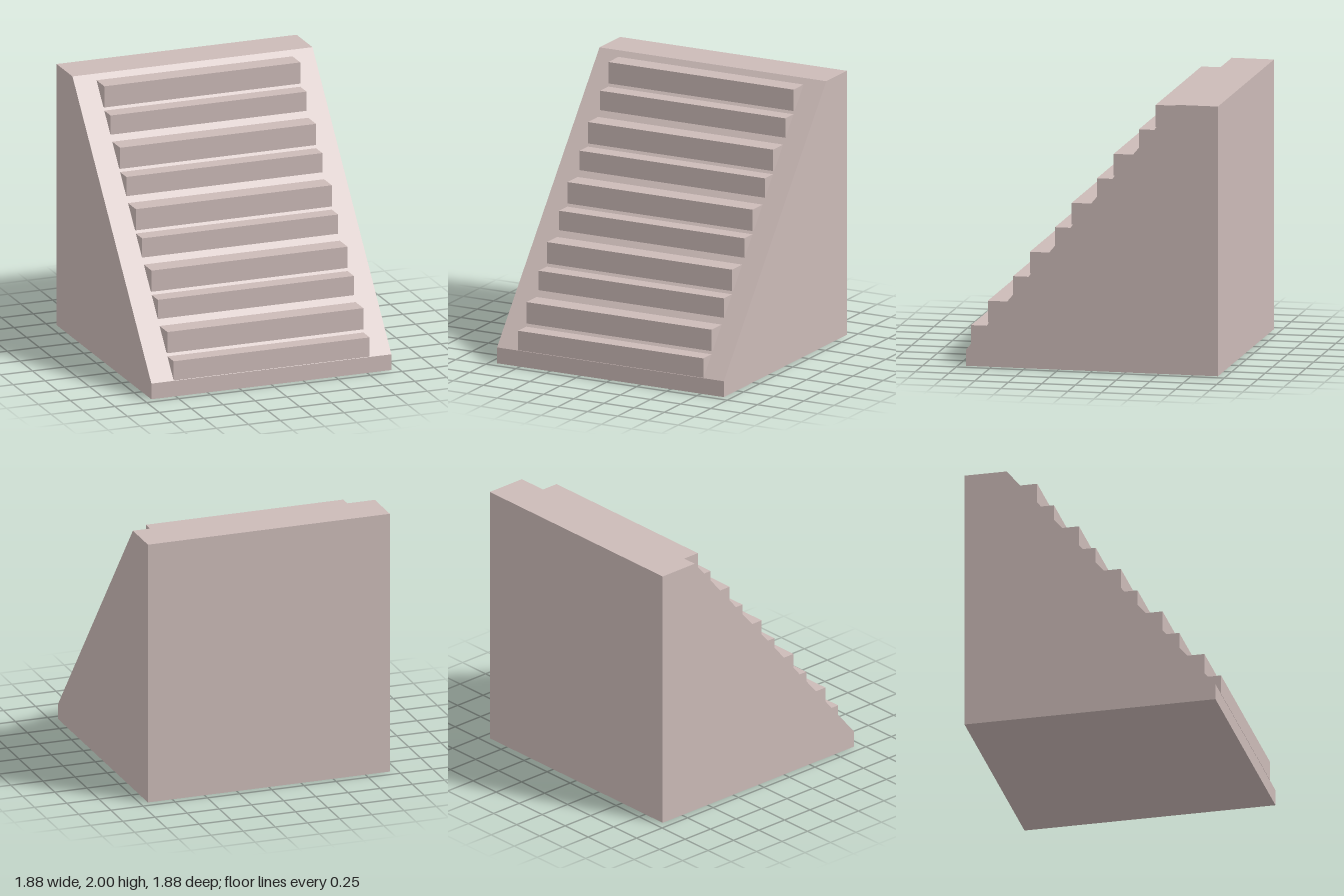
import * as THREE from 'three';

const material = new THREE.MeshStandardMaterial({ color: 0xcbbab7, flatShading: true });

// Side profile given as [z, y] points, extruded across x from xMin to xMax
function prism(name, profile, xMin, xMax) {
  const shape = new THREE.Shape(profile.map(([z, y]) => new THREE.Vector2(z, y)));
  const geometry = new THREE.ExtrudeGeometry(shape, { depth: xMax - xMin, bevelEnabled: false });
  geometry.rotateY(-Math.PI / 2);
  geometry.translate(xMax, 0, 0);
  const mesh = new THREE.Mesh(geometry, material);
  mesh.name = name;
  return mesh;
}

export function createModel() {
  const group = new THREE.Group();
  group.name = 'staircase';

  const front = 0.94, back = -0.94, lip = 0.12, top = 2, crest = -0.625;
  // z of the sloped face at height y
  const slopeZ = (y) => front + ((y - lip) / (top - lip)) * (crest - front);

  // Solid wedge with a low front lip and a flat top landing
  group.add(prism('wedgeBase',
    [[front, 0], [front, lip], [crest, top], [back, top], [back, 0]], -0.94, 0.94));

  // Steps alternate between a shallow and a deep tread up the slope
  const steps = new THREE.Group();
  steps.name = 'steps';
  for (let i = 0; i < 10; i++) {
    const pair = Math.floor(i / 2), deep = i % 2 === 1;
    const z = (deep ? 0.815 : front) - pair * 0.313;
    const yTop = (deep ? 0.456 : 0.27) + pair * 0.376;
    const yBottom = yTop - (deep ? 0.162 : 0.147);
    steps.add(prism(`step${i + 1}`,
      [[z, yBottom], [z, yTop], [slopeZ(yTop), yTop], [slopeZ(yBottom), yBottom]], -0.765, 0.77));
  }
  group.add(steps);
  return group;
}
